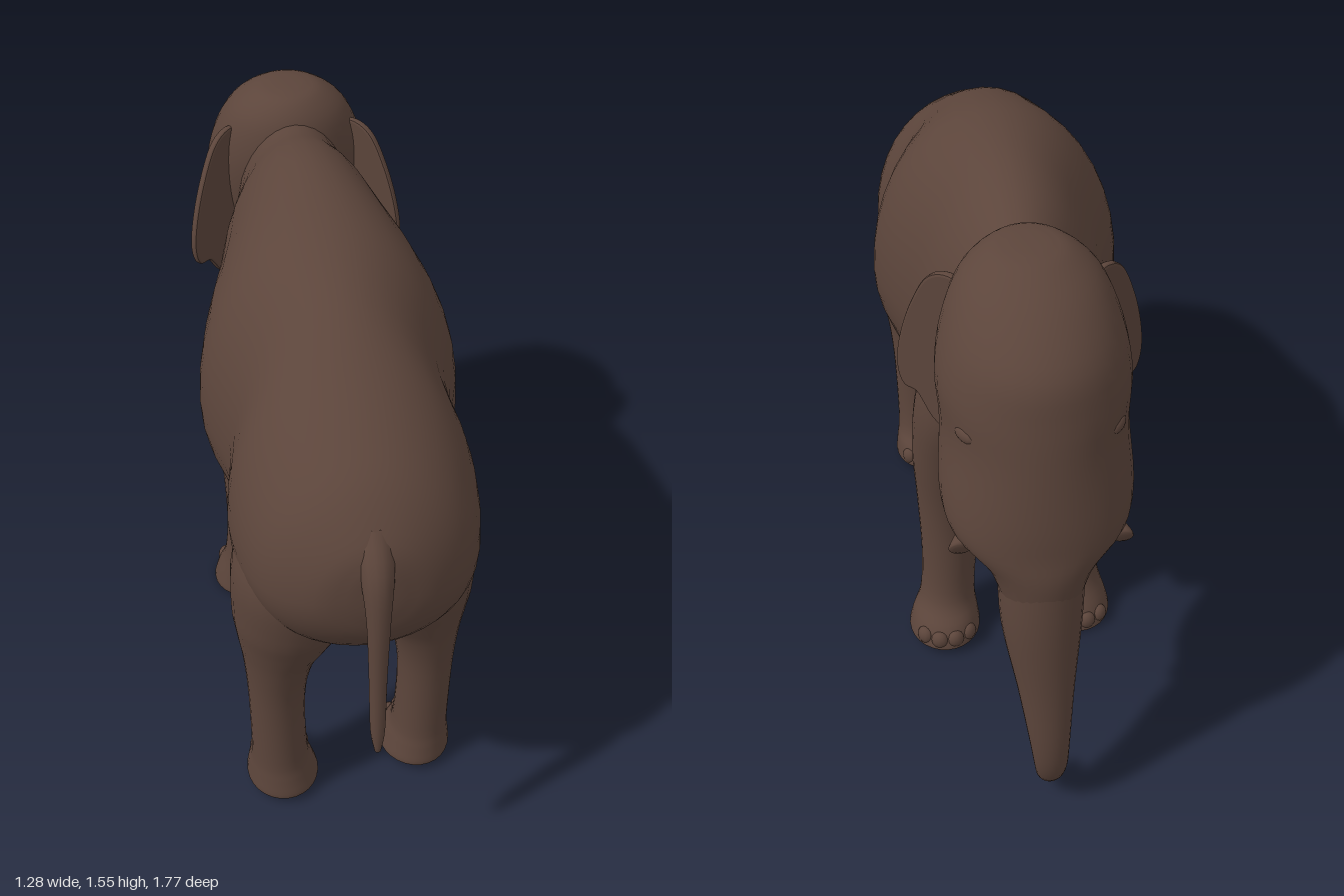
import * as THREE from 'three';

const hide = new THREE.MeshStandardMaterial({ color: 0x5c453b });
hide.name = 'brown hide';

const UP = new THREE.Vector3(0, 1, 0), FORWARD = new THREE.Vector3(0, 0, 1);

function mesh(name, geometry, parent) {
  const m = new THREE.Mesh(geometry, hide);
  m.name = name;
  parent.add(m);
  return m;
}

// Smooth loft through rows of [x, y, z, side radius, upper/front radius, lower/back radius];
// the rings follow the path unless a fixed upper/front direction is given
function loft(rows, sides, fixed, steps = 4) {
  const curve = points => new THREE.CatmullRomCurve3(points, false, 'catmullrom', 0.5);
  const centre = curve(rows.map(r => new THREE.Vector3(r[0], r[1], r[2])));
  const radii = curve(rows.map(r => new THREE.Vector3(r[3], r[4] ?? r[3], r[5] ?? r[4] ?? r[3])));
  const n = (rows.length - 1) * steps, pos = [], idx = [];
  const across = new THREE.Vector3(1, 0, 0);
  for (let i = 0; i <= n; i++) {
    const c = centre.getPoint(i / n), r = radii.getPoint(i / n);
    const t = centre.getPoint(Math.min(1, (i + 1) / n)).sub(centre.getPoint(Math.max(0, (i - 1) / n)));
    const up = fixed ?? t.setX(0).normalize().cross(across);
    for (let j = 0; j < sides; j++) {
      const a = j / sides * Math.PI * 2, s = Math.sin(a);
      const h = s * (s > 0 ? r.y : r.z);
      pos.push(c.x + r.x * Math.cos(a), c.y + up.y * h, c.z + up.z * h);
    }
  }
  for (let i = 0; i < n; i++) {
    for (let j = 0; j < sides; j++) {
      const k = (j + 1) % sides, a = i * sides + j, b = i * sides + k;
      idx.push(a, b, a + sides, b, b + sides, a + sides);
    }
  }
  // end caps
  const first = pos.length / 3;
  pos.push(...rows[0].slice(0, 3), ...rows.at(-1).slice(0, 3));
  for (let j = 0; j < sides; j++) {
    const k = (j + 1) % sides;
    idx.push(first, k, j, first + 1, n * sides + j, n * sides + k);
  }
  const g = new THREE.BufferGeometry();
  g.setAttribute('position', new THREE.Float32BufferAttribute(pos, 3));
  g.setIndex(idx);
  g.computeVertexNormals();
  return g;
}

// Leg with toenails; side is +1 or -1, shift moves it along the body, drop lowers the foot
function leg(name, rows, side, shift, drop, parent) {
  const g = new THREE.Group();
  g.name = name;
  const placed = rows.map(([x, y, z, ...r]) => [side * x, y < 0.1 ? y - drop : y, z + shift, ...r]);
  mesh('limb', loft(placed, 28, FORWARD), g);
  const [x, y, z, rx, rf] = placed.at(-2);
  for (let i = -1.5; i <= 1.5; i++) {
    const a = i * 0.5;
    const nail = mesh('toenail', new THREE.SphereGeometry(0.026, 12, 8), g);
    nail.position.set(x + Math.sin(a) * rx * 0.88, y + 0.022, z + Math.cos(a) * rf * 0.87);
    nail.rotation.y = a;
    nail.scale.set(1, 1.1, 0.8);
  }
  parent.add(g);
}

export function createModel() {
  const model = new THREE.Group();
  model.name = 'elephant';

  // The animal is built facing +z, then turned to its final heading
  const body = new THREE.Group();
  body.name = 'animal';
  body.rotation.y = Math.PI * 7 / 6;
  model.add(body);

  // Torso and neck: [z, top, bottom, half width]
  const torso = [
    [-1.085, 1.03, 0.9, 0.05], [-1.06, 1.1, 0.8, 0.15], [-0.98, 1.2, 0.7, 0.25],
    [-0.87, 1.275, 0.65, 0.3], [-0.72, 1.355, 0.625, 0.318], [-0.55, 1.44, 0.62, 0.295],
    [-0.35, 1.505, 0.63, 0.345], [-0.2, 1.53, 0.655, 0.33], [0, 1.54, 0.695, 0.272],
    [0.14, 1.525, 0.75, 0.24], [0.25, 1.497, 0.83, 0.2], [0.36, 1.485, 0.93, 0.17],
    [0.5, 1.46, 1.0, 0.14],
  ];
  mesh('torso', loft(torso.map(([z, top, low, w]) => {
    const y = low + (top - low) * 0.42;
    return [0, y, z, w, top - y, y - low];
  }), 40, UP), body);

  // Head
  mesh('head', loft([
    [0, 1.555, 0.46, 0.04, 0.05, 0.05], [0, 1.54, 0.46, 0.1, 0.115, 0.11],
    [0, 1.48, 0.475, 0.17, 0.205, 0.17], [0, 1.38, 0.51, 0.215, 0.265, 0.22],
    [0, 1.27, 0.545, 0.235, 0.26, 0.24], [0, 1.15, 0.57, 0.228, 0.255, 0.23],
    [0, 1.0, 0.63, 0.237, 0.215, 0.2], [0, 0.91, 0.685, 0.215, 0.167, 0.16],
    [0, 0.83, 0.74, 0.135, 0.12, 0.12], [0, 0.72, 0.762, 0.094, 0.09, 0.092],
  ], 36, FORWARD), body);

  // Trunk, curling back at the tip
  mesh('trunk', loft([
    [0, 0.84, 0.745, 0.11, 0.11, 0.11], [0, 0.65, 0.77, 0.102, 0.096, 0.1],
    [0.01, 0.45, 0.805, 0.074, 0.062, 0.068], [0.02, 0.27, 0.825, 0.054, 0.046, 0.047],
    [0.026, 0.16, 0.82, 0.044, 0.036, 0.038], [0.028, 0.09, 0.782, 0.036, 0.034, 0.03],
    [0.028, 0.08, 0.735, 0.034, 0.033, 0.03],
  ], 28), body);
  mesh('lowerJaw', loft([
    [0, 1.05, 0.44, 0.1, 0.08, 0.08], [0, 0.96, 0.52, 0.11, 0.08, 0.06],
    [0, 0.86, 0.59, 0.08, 0.06, 0.045], [0, 0.79, 0.61, 0.038, 0.03, 0.025],
    [0, 0.77, 0.615, 0.01],
  ], 20), body);

  // Ear outline, widening downwards as it sweeps out from the head
  const outline = new THREE.Shape();
  outline.moveTo(-0.06, 1.42);
  outline.splineThru([[0, 1.44], [0.06, 1.41], [0.11, 1.32], [0.145, 1.22], [0.16, 1.13],
    [0.145, 1.07], [0.1, 1.06], [0.05, 1.0], [0, 0.99], [-0.06, 1.06]].map(p => new THREE.Vector2(...p)));
  outline.closePath();
  const earGeometry = new THREE.ExtrudeGeometry(outline, {
    depth: 0.01, bevelThickness: 0.006, bevelSize: 0.008, bevelSegments: 2, curveSegments: 30,
  });
  earGeometry.translate(0, 0, -0.005);

  for (const side of [1, -1]) {
    const label = side > 0 ? 'left' : 'right';
    const ear = mesh(label + 'Ear', earGeometry, body);
    ear.position.set(side * 0.185, 0, 0.41);
    ear.rotation.y = side > 0 ? 0.75 : Math.PI - 0.75;

    // Short blunt tusk
    mesh(label + 'Tusk', loft([
      [side * 0.12, 0.92, 0.64, 0.04], [side * 0.165, 0.895, 0.7, 0.036],
      [side * 0.195, 0.88, 0.74, 0.03], [side * 0.2, 0.877, 0.748, 0.015],
    ], 14), body);

    // Eyelid
    const eye = mesh(label + 'Eyelid', new THREE.SphereGeometry(0.028, 14, 10), body);
    eye.position.set(side * 0.178, 1.2, 0.71);
    eye.rotation.y = side * 0.95;
    eye.scale.set(1.2, 0.7, 0.5);
  }

  // Legs: the right pair stands a little further forward
  const front = [
    [0.08, 1.3, 0.14, 0.09, 0.08, 0.12], [0.115, 1.1, 0.15, 0.115, 0.125, 0.15],
    [0.15, 0.9, 0.13, 0.117, 0.138, 0.14], [0.173, 0.7, 0.085, 0.105, 0.115, 0.125],
    [0.18, 0.5, 0.06, 0.088, 0.09, 0.094], [0.18, 0.3, 0.06, 0.08, 0.078, 0.08],
    [0.188, 0.15, 0.067, 0.08, 0.08, 0.08], [0.197, 0.08, 0.085, 0.096, 0.11, 0.1],
    [0.2, 0.03, 0.09, 0.105, 0.123, 0.11], [0.2, 0.02, 0.09, 0.098, 0.115, 0.1],
  ];
  const hind = [
    [0.12, 1.08, -0.78, 0.12, 0.14, 0.16], [0.16, 0.87, -0.8, 0.155, 0.185, 0.185],
    [0.165, 0.7, -0.79, 0.158, 0.16, 0.17], [0.182, 0.6, -0.785, 0.13, 0.127, 0.138],
    [0.202, 0.51, -0.785, 0.096, 0.099, 0.107], [0.21, 0.37, -0.785, 0.077, 0.077, 0.081],
    [0.205, 0.15, -0.778, 0.077, 0.08, 0.08], [0.2, 0.08, -0.76, 0.09, 0.108, 0.105],
    [0.195, 0.03, -0.755, 0.1, 0.12, 0.118], [0.195, 0.02, -0.755, 0.093, 0.112, 0.108],
  ];
  leg('leftFrontLeg', front, 1, 0, 0.018, body);
  leg('rightFrontLeg', front, -1, 0.05, 0, body);
  leg('leftHindLeg', hind, 1, 0, 0, body);
  leg('rightHindLeg', hind, -1, 0.065, 0, body);

  // Tail
  mesh('tail', loft([
    [0, 1.1, -1.0, 0.05], [0, 1.02, -1.075, 0.042], [0, 0.9, -1.108, 0.03],
    [0, 0.72, -1.12, 0.023], [0, 0.56, -1.133, 0.019], [0, 0.49, -1.142, 0.008],
  ], 14), body);

  return model;
}
